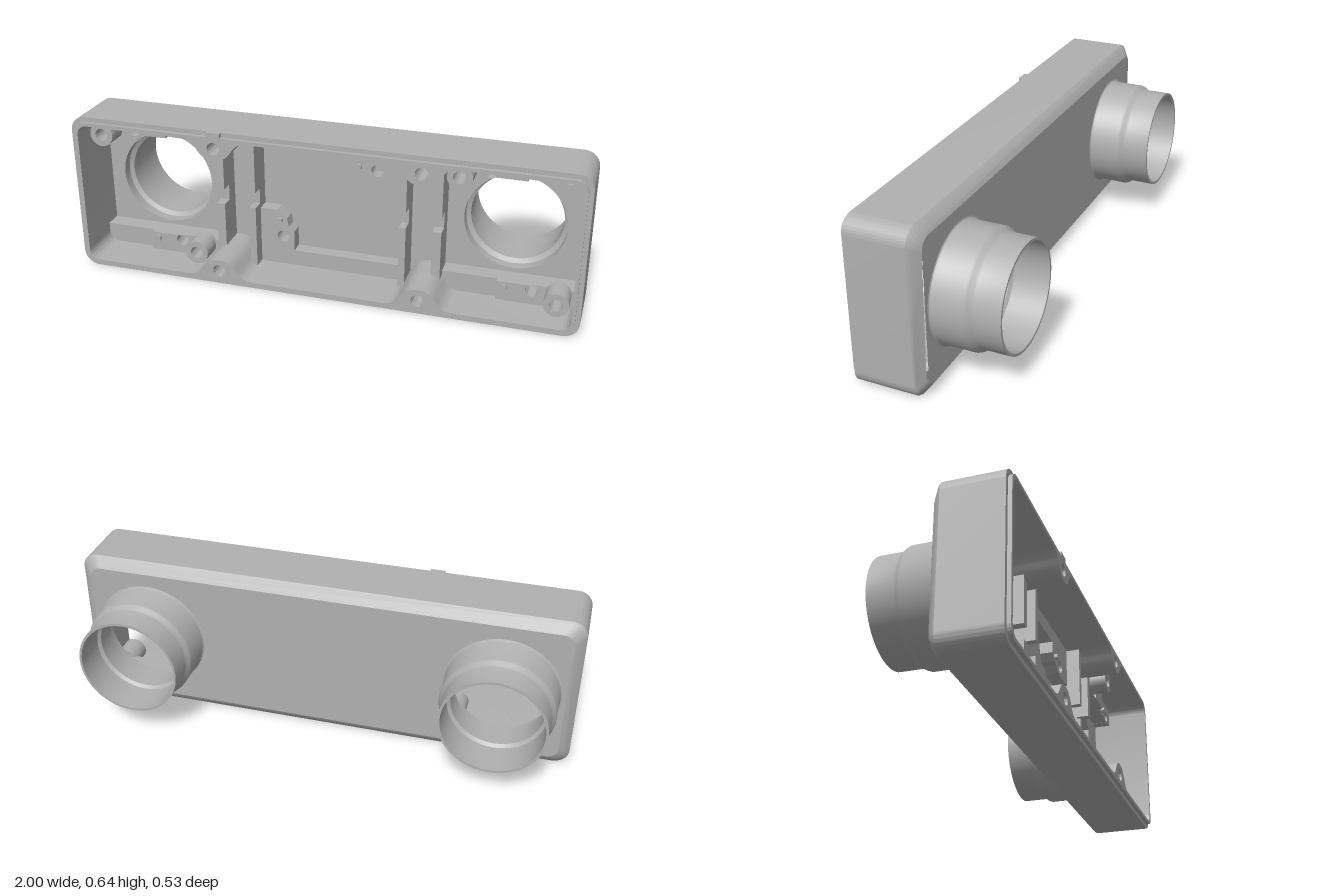
import * as THREE from 'three';
import { toCreasedNormals } from 'three/addons/utils/BufferGeometryUtils.js';

const CY = 0.3225;      // mid height
const PORT_X = 0.715;   // port centres
const FLOOR = 0.02;     // cavity floor
const RIM = 0.25;       // front of the walls

export function createModel() {
  const group = new THREE.Group();
  const grey = new THREE.MeshStandardMaterial({ color: 0xb0b0b0 });
  grey.name = 'housing grey';

  function add(name, geometry, crease = 0.6) {
    const mesh = new THREE.Mesh(toCreasedNormals(geometry, crease), grey);
    mesh.name = name;
    group.add(mesh);
    return mesh;
  }

  // rounded rectangle; bump > 0 makes it swell inward around the four screw bosses
  function outline(inset, radius, bump = 0) {
    const s0 = new THREE.Shape();
    const W = 1 - inset, H = CY - inset, r = radius;
    s0.moveTo(W, CY + H - r);
    for (const s of [1, -1]) {
      const a = s > 0 ? 0 : Math.PI;
      const y = CY + s * H, low = y - s * bump;
      s0.absarc(s * (W - r), CY + s * (H - r), r, a, a + Math.PI / 2, false);
      if (bump) {
        for (const c of [s * 0.4, -s * 0.4]) {
          s0.lineTo(c + s * 0.13, y);
          s0.bezierCurveTo(c + s * 0.06, y, c + s * 0.08, low, c, low);
          s0.bezierCurveTo(c - s * 0.08, low, c - s * 0.06, y, c - s * 0.13, y);
        }
      }
      s0.lineTo(-s * (W - r), y);
      s0.absarc(-s * (W - r), CY + s * (H - r), r, a + Math.PI / 2, a + Math.PI, false);
    }
    return s0;
  }

  function circle(x, y, r) {
    return new THREE.Path().absarc(x, y, r, 0, Math.PI * 2, false);
  }

  function extrude(name, shape, z0, z1) {
    const g = new THREE.ExtrudeGeometry(shape, { depth: z1 - z0, bevelEnabled: false, curveSegments: 14 });
    g.translate(0, 0, z0);
    return add(name, g);
  }

  function polygon(points, holes = []) {
    const s = new THREE.Shape(points.map(([x, y]) => new THREE.Vector2(x, y)));
    for (const [x, y] of holes) s.holes.push(circle(x, y, 0.025));
    return s;
  }

  function rect(x0, x1, y0, y1, holes) {
    return polygon([[x0, y0], [x1, y0], [x1, y1], [x0, y1]], holes);
  }

  function peg(x, y, z) {
    const g = new THREE.CylinderGeometry(0.013, 0.013, 0.05, 16).rotateX(Math.PI / 2);
    add('locatingPeg', g.translate(x, y, z - 0.01));
  }

  // side walls and the raised sealing lip
  function ring(inset, radius) {
    const s = outline(inset, radius);
    s.holes.push(outline(0.032, 0.04, 0.078));
    for (const x of [-0.4, 0.4])
      for (const y of [0.063, 0.582]) s.holes.push(circle(x, y, 0.025));
    return s;
  }
  extrude('sideWalls', ring(0, 0.06), FLOOR, RIM);
  extrude('sealingLip', ring(0.018, 0.046), RIM, 0.265);
  extrude('topTab', rect(-0.428, -0.372, 0.622, 0.645), RIM, 0.265);

  // chamfered back edge, lofted from shrinking outlines
  const rows = [[0, 0.02], [0.004, 0.013], [0.034, -0.01], [0.042, -0.015]].map(([inset, z]) =>
    outline(inset, 0.06 - inset * 0.4).getPoints(10).map(p => [p.x, p.y, z]));
  const pos = [], index = [], n = rows[0].length;
  rows.forEach(row => row.forEach(p => pos.push(...p)));
  for (let j = 0; j < rows.length - 1; j++) {
    for (let i = 0; i < n; i++) {
      const a = j * n + i, b = j * n + (i + 1) % n;
      index.push(a, a + n, b, b, a + n, b + n);
    }
  }
  const chamfer = new THREE.BufferGeometry();
  chamfer.setAttribute('position', new THREE.Float32BufferAttribute(pos, 3));
  chamfer.setIndex(index);
  add('backChamfer', chamfer, 0.9);

  // back face and cavity floor, both open at the ports
  function plate(inset, radius, hole) {
    const s = outline(inset, radius);
    for (const x of [-PORT_X, PORT_X]) s.holes.push(circle(x, CY, hole));
    return new THREE.ShapeGeometry(s, 32);
  }
  add('backFace', plate(0.042, 0.0432, 0.205).rotateY(Math.PI).translate(0, 0, -0.015));
  add('cavityFloor', plate(0.01, 0.05, 0.195).translate(0, 0, FLOOR + 0.001));

  // stepped hollow ports, profile as radius and distance behind z = 0
  const portProfile = [
    [0.23, 0.014], [0.223, 0.017], [0.219, 0.025], [0.219, 0.138], [0.216, 0.147],
    [0.206, 0.158], [0.203, 0.168], [0.203, 0.265], [0.193, 0.265], [0.19, 0.13],
    [0.178, 0.12], [0.178, 0.03], [0.195, 0.02], [0.195, -0.021],
  ].map(([r, h]) => new THREE.Vector2(r, h));

  for (const cx of [-PORT_X, PORT_X]) {
    const port = new THREE.LatheGeometry(portProfile, 64).rotateX(-Math.PI / 2);
    add('port', port.translate(cx, CY, 0));

    // ledges above and below the port
    for (const s of [1, -1]) {
      const ys = [CY + s * 0.212, CY + s * 0.3];
      const y0 = Math.min(...ys), y1 = Math.max(...ys), hy = CY + s * 0.232;
      const mid = cx + s * 0.045, end = cx + s * 0.258, far = cx - s * 0.258;
      extrude('plainLedge', rect(Math.min(mid, end), Math.max(mid, end), y0, y1,
        s > 0 ? [[cx + 0.19, hy]] : []), FLOOR, 0.09);
      extrude('drilledLedge', rect(Math.min(mid, far), Math.max(mid, far), y0, y1,
        [[cx - s * 0.09, hy], [cx - s * 0.19, hy]]), FLOOR, 0.11);

      // tall screw post in the corner
      const post = new THREE.Shape().absarc(cx - s * 0.19, hy, 0.048, 0, Math.PI * 2, false);
      post.holes.push(circle(cx - s * 0.19, hy, 0.025));
      extrude('screwPost', post, 0.1, 0.195);
    }
    peg(cx + 0.11, CY + 0.232, 0.09);
    peg(cx - 0.015, CY - 0.233, 0.11);
  }

  // partitions with a cable notch at mid height
  for (const s of [1, -1]) {
    for (const [a, b] of [[0.42, 0.455], [0.29, 0.317]]) {
      const x0 = Math.min(s * a, s * b), x1 = Math.max(s * a, s * b);
      extrude('partition', rect(x0, x1, 0.03, 0.29), FLOOR, 0.13);
      extrude('partition', rect(x0, x1, 0.355, 0.615), FLOOR, 0.13);
      extrude('partitionNotch', rect(x0, x1, 0.29, 0.355), FLOOR, 0.08);
    }
  }

  // stepped ledges in the middle compartment
  extrude('upperMiddleLedge', polygon([
    [-0.29, 0.62], [-0.29, 0.553], [0.08, 0.553], [0.08, 0.505],
    [0.105, 0.475], [0.135, 0.47], [0.16, 0.445], [0.29, 0.445], [0.29, 0.62],
  ], [[0.19, 0.489]]), FLOOR, 0.075);
  extrude('lowerMiddleLedge', polygon([
    [-0.29, 0.03], [0.29, 0.03], [0.29, 0.097], [-0.15, 0.097], [-0.15, 0.18],
    [-0.172, 0.2], [-0.18, 0.235], [-0.22, 0.268], [-0.29, 0.268],
  ], [[-0.195, 0.155]]), FLOOR, 0.075);
  peg(0.115, 0.497, 0.075);
  peg(-0.21, 0.226, 0.075);

  return group;
}
